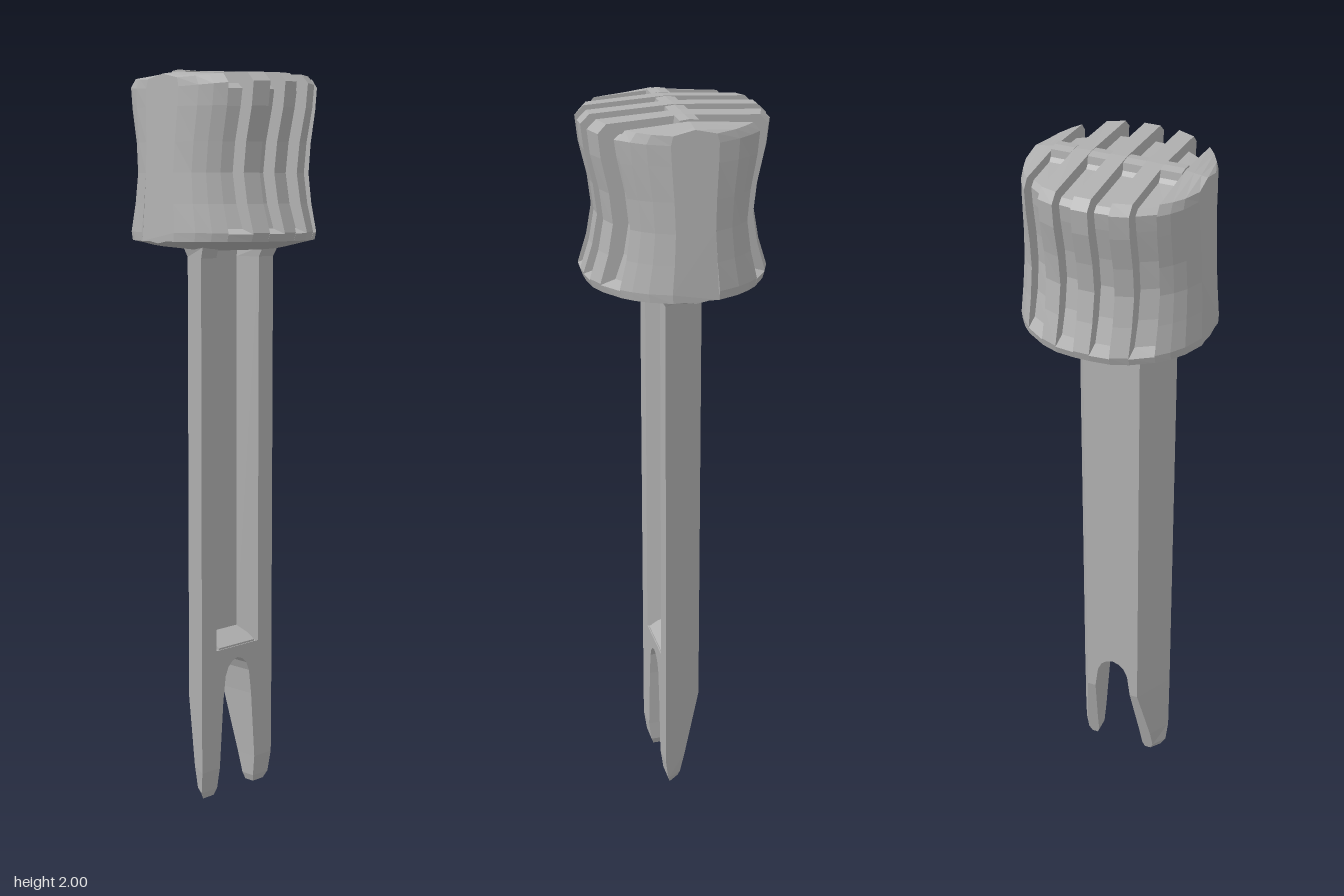
import * as THREE from 'three';

const greyPlastic = new THREE.MeshStandardMaterial({ color: 0xb0b0b0 });
greyPlastic.name = 'greyPlastic';
greyPlastic.flatShading = true;

// Loft through sections { h, pts: [[u, v], ...] } (counter-clockwise), capped at both ends.
function loft(sections, place) {
  const pos = [];
  const tri = (...corners) => corners.forEach(([s, j]) => {
    const n = s.pts.length;
    pos.push(...place(...s.pts[j % n], s.h));
  });
  for (let i = 0; i < sections.length - 1; i++) {
    const a = sections[i], b = sections[i + 1];
    for (let j = 0; j < a.pts.length; j++) {
      tri([a, j], [a, j + 1], [b, j + 1]);
      tri([a, j], [b, j + 1], [b, j]);
    }
  }
  const cap = (s, flip) => {
    const faces = THREE.ShapeUtils.triangulateShape(s.pts.map(p => new THREE.Vector2(...p)), []);
    for (const [a, b, c] of faces) flip ? tri([s, a], [s, c], [s, b]) : tri([s, a], [s, b], [s, c]);
  };
  cap(sections[0], true);
  cap(sections[sections.length - 1], false);
  const g = new THREE.BufferGeometry();
  g.setAttribute('position', new THREE.Float32BufferAttribute(pos, 3));
  g.computeVertexNormals();
  return g;
}

function addMesh(parent, name, geometry) {
  const m = new THREE.Mesh(geometry, greyPlastic);
  m.name = name;
  parent.add(m);
}

// Half width of the round knob at depth z
const knobWidth = z => Math.min(0.242, Math.sqrt(Math.max(0.256 ** 2 - z * z, 0.004)) * 0.965);

const mirror = half => [...half, ...half.slice(1, -1).reverse().map(([x, y]) => [-x, y])];

// Waisted profile of a full-height rib
function ribProfile(z) {
  const w = knobWidth(z), low = 1.522 + 0.4 * z * z, drop = 0.25 * z * z;
  return mirror([
    [0, low], [w * 0.55, low + 0.006], [w * 0.97, 1.552], [w, 1.575], [w * 0.9, 1.65],
    [w * 0.84, 1.73], [w * 0.88, 1.81], [w * 0.97, 1.9], [w, 1.965 - drop], [w * 0.9, 1.988 - drop], [0, 2 - drop]
  ]);
}

// Sunken profile between ribs, keeping the spine along the top
function grooveProfile(z) {
  const w = knobWidth(z), d = 0.04, low = 1.522 + 0.4 * z * z;
  return mirror([
    [0, low], [w * 0.55, low + 0.006], [w * 0.97, 1.552], [w, 1.572], [w * 0.93 - d * 0.6, 1.585],
    [w * 0.9 - d, 1.65], [w * 0.84 - d, 1.73], [w * 0.88 - d, 1.81], [w * 0.97 - d, 1.9],
    [w - d, 1.945], [w - d - 0.015, 1.958], [0.036, 1.965], [0.027, 1.975], [0.025, 1.995], [0, 1.998]
  ]);
}

// Ends lean inwards towards the top
function placeKnob(x, y, z) {
  const lean = Math.max(0, Math.abs(z) - 0.17) / 0.08;
  const t = (y - 1.57) / 0.43;
  return [x, y, z - Math.sign(z) * lean * 0.022 * Math.abs(t)];
}

function createKnob() {
  const knob = new THREE.Group();
  knob.name = 'knob';
  const cuts = [-0.175, -0.12, -0.075, -0.025, 0.018, 0.07, 0.115, 0.17];
  const ribs = [
    [-0.248, -0.225, -0.2, cuts[0]], [cuts[1], cuts[2]], [cuts[3], 0, cuts[4]],
    [cuts[5], cuts[6]], [cuts[7], 0.2, 0.225, 0.248]
  ];
  for (const zs of ribs) addMesh(knob, 'knobRib', loft(zs.map(z => ({ h: z, pts: ribProfile(z) })), placeKnob));
  for (let i = 0; i < cuts.length; i += 2) {
    const zs = [cuts[i], cuts[i + 1]];
    addMesh(knob, 'knobGroove', loft(zs.map(z => ({ h: z, pts: grooveProfile(z) })), placeKnob));
  }
  return knob;
}

// Shaft sections are drawn in (z, x) and stacked upwards
const placeShaft = (z, x, y) => [x, y, z];

function createShaft() {
  const shaft = new THREE.Group();
  shaft.name = 'shaft';

  // Tapered channel, open towards +x, flaring into the knob
  const half = [[0.08, -0.06], [0.14, 0.053], [0.083, 0.053], [0.055, -0.005]];
  const channel = [...half, ...half.slice().reverse().map(([z, x]) => [-z, x])];
  const flare = channel.map(([z, x]) => [z * 1.05, x * 1.25]);
  addMesh(shaft, 'channel', loft([
    { h: 0.42, pts: channel }, { h: 1.505, pts: channel }, { h: 1.535, pts: flare }
  ], placeShaft));

  // Sloping foot of the channel
  const foot = x => [[-0.07, -0.03], [0.07, -0.03], [0.07, x], [-0.07, x]];
  addMesh(shaft, 'channelFoot', loft([{ h: 0.41, pts: foot(0.05) }, { h: 0.425, pts: foot(0.05) },
    { h: 0.46, pts: foot(-0.006) }], placeShaft));

  // Forked tip: [height, inner z, outer z, back x, front x]
  const rows = [
    [0, 0.08, 0.122, 0.008, 0.038], [0.02, 0.073, 0.134, 0.003, 0.045], [0.08, 0.07, 0.139, -0.012, 0.053],
    [0.27, 0.056, 0.14, -0.06, 0.053], [0.34, 0.047, 0.14, -0.06, 0.053], [0.365, 0.036, 0.14, -0.06, 0.053],
    [0.38, 0.02, 0.14, -0.06, 0.053], [0.387, 0, 0.14, -0.06, 0.053], [0.42, 0, 0.14, -0.06, 0.053]
  ];
  for (const side of [1, -1]) {
    const sections = rows.map(([h, zin, zout, xb, xf]) => {
      const zb = zout - 0.06 * (0.053 - xb) / 0.113;
      const pts = [[zin, xb], [zb, xb], [zout, xf], [zin, xf]].map(([z, x]) => [z * side, x]);
      return { h, pts: side > 0 ? pts : pts.reverse() };
    });
    addMesh(shaft, side > 0 ? 'frontProng' : 'backProng', loft(sections, placeShaft));
  }
  return shaft;
}

export function createModel() {
  const model = new THREE.Group();
  model.name = 'knobbedForkPin';
  model.add(createKnob(), createShaft());
  return model;
}
